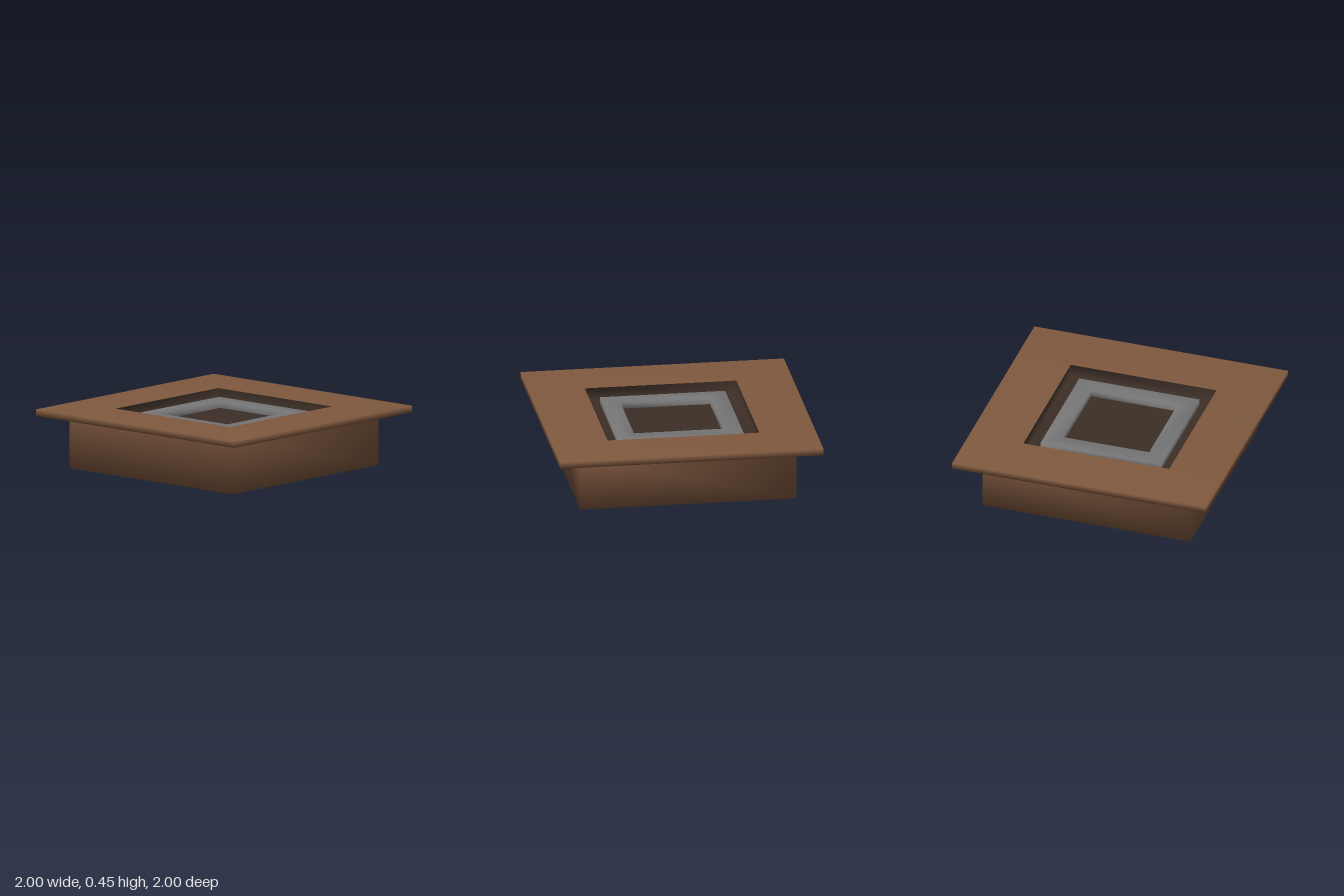
import * as THREE from 'three';

const brown = new THREE.MeshStandardMaterial({ color: 0x80593f });
const darkBrown = new THREE.MeshStandardMaterial({ color: 0x3c2e26 });
const grey = new THREE.MeshStandardMaterial({ color: 0x777777 });

// Square solid from a cross-section of [half width, height] points,
// swept round four corners with soft normals.
function squareSweep(name, profile, material) {
  const points = profile.map(([half, y]) => new THREE.Vector2(half * Math.SQRT2, y));
  const mesh = new THREE.Mesh(new THREE.LatheGeometry(points, 4, Math.PI / 4), material);
  mesh.name = name;
  return mesh;
}

export function createModel() {
  const model = new THREE.Group();
  model.name = 'recessedSquareFixture';

  model.add(
    // closed square box below the rim
    squareSweep('base', [[0, 0], [0.82, 0], [0.82, 0.4]], brown),
    // wide flat rim
    squareSweep('rim', [[0.82, 0.4], [1, 0.4], [1, 0.45], [0.575, 0.45]], brown),
    // sunken well inside the rim
    squareSweep('well', [[0.575, 0.45], [0.575, 0.36], [0, 0.36]], darkBrown),
    // raised grey frame round the centre panel
    squareSweep('innerFrame', [[0.475, 0.36], [0.475, 0.41], [0.34, 0.41], [0.34, 0.36]], grey)
  );
  return model;
}
